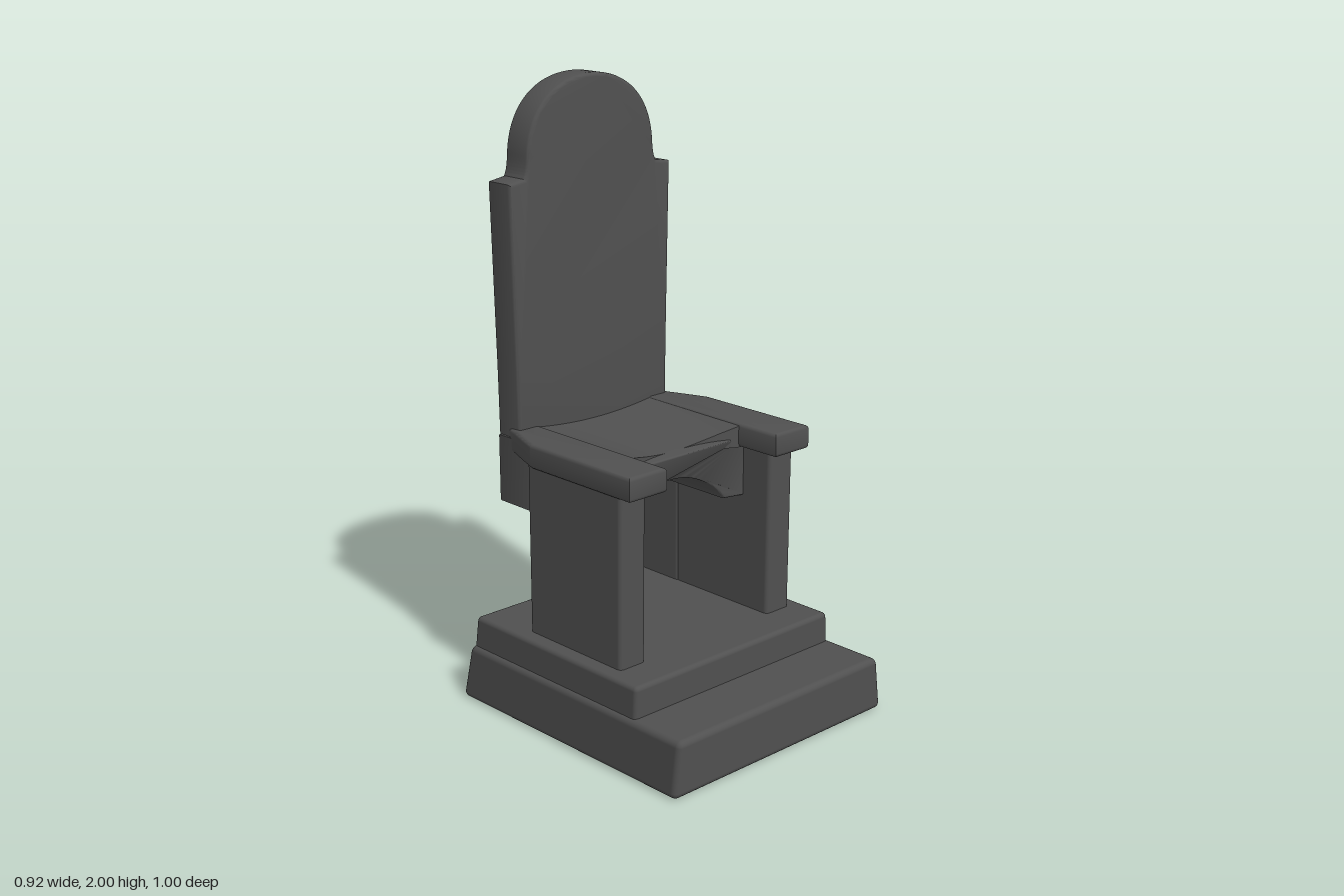
import * as THREE from 'three';
import { toCreasedNormals } from 'three/addons/utils/BufferGeometryUtils.js';
import { RoundedBoxGeometry } from 'three/addons/geometries/RoundedBoxGeometry.js';

const stone = new THREE.MeshStandardMaterial({ color: 0x505050 });
stone.name = 'darkStone';

// Move every vertex of a geometry by a rule
function warp(geometry, rule) {
  const p = geometry.attributes.position;
  const v = new THREE.Vector3();
  for (let i = 0; i < p.count; i++) {
    v.fromBufferAttribute(p, i);
    rule(v);
    p.setXYZ(i, v.x, v.y, v.z);
  }
  return geometry;
}

// Softly bevelled slab whose outline is the outer size, from z = 0 to depth
function slab(shape, depth, bevel = 0.012) {
  const g = new THREE.ExtrudeGeometry(shape, {
    depth: depth - 2 * bevel, bevelThickness: bevel, bevelSize: bevel,
    bevelOffset: -bevel, bevelSegments: 3, curveSegments: 20,
  });
  return g.translate(0, 0, bevel);
}

const smooth = (g) => toCreasedNormals(g, 0.7);

// Rounded box given by its limits
function block(x0, x1, y0, y1, z0, z1, r = 0.015) {
  return new RoundedBoxGeometry(x1 - x0, y1 - y0, z1 - z0, 3, r)
    .translate((x0 + x1) / 2, (y0 + y1) / 2, (z0 + z1) / 2);
}

// Curved front edge of the seat between the arms
const seatFront = (x) => 0.015 + 0.055 * Math.pow(Math.min(1, Math.abs(x) / 0.235), 2.6);

// Outline with an arched underside
function archShape(halfWidth, top) {
  const s = new THREE.Shape();
  s.moveTo(-halfWidth, top);
  s.lineTo(-halfWidth, 0.66);
  s.lineTo(-0.2, 0.66);
  s.bezierCurveTo(-0.16, 0.735, -0.07, 0.76, 0, 0.76);
  s.bezierCurveTo(0.07, 0.76, 0.16, 0.735, 0.2, 0.66);
  s.lineTo(halfWidth, 0.66);
  s.lineTo(halfWidth, top);
  return s;
}

export function createModel() {
  const model = new THREE.Group();
  const add = (name, geometry) => {
    const m = new THREE.Mesh(geometry, stone);
    m.name = name;
    model.add(m);
    return m;
  };

  // Two-step base; the lower step leans inward on the sides and back
  add('lowerStep', warp(block(-0.46, 0.46, 0, 0.18, -0.5, 0.5, 0.02), (v) => {
    const t = Math.pow(v.y / 0.18, 2);
    v.x *= 1 - 0.05 * t;
    if (v.z < 0) v.z *= 1 - 0.04 * t;
  }));
  add('upperStep', warp(block(-0.428, 0.428, 0.13, 0.28, -0.48, 0.295), (v) => {
    const t = Math.max(0, (v.y - 0.18) / 0.1);
    v.x *= 1 - 0.015 * t;
    if (v.z < 0) v.z *= 1 - 0.03 * t;
  }));

  // Side panels carrying the arms, and the single rear post
  for (const side of [1, -1]) {
    const x = side * 0.32;
    add(side > 0 ? 'leftLegPanel' : 'rightLegPanel',
      warp(block(x - 0.052, x + 0.052, 0.26, 0.86, -0.255, 0.17), (v) => {
        if (v.z > 0) v.z += 0.012 * (v.y - 0.26);
      }));
  }
  add('rearPost', block(0.265, 0.342, 0.26, 0.85, -0.455, -0.24));

  // Vaulted block under the seat, following the curved seat front
  const vault = slab(archShape(0.275, 0.86), 0.5, 0.006);
  warp(vault, (v) => {
    v.z = THREE.MathUtils.lerp(-0.455, seatFront(v.x) - 0.012, v.z / 0.5);
  });
  add('seatVault', smooth(vault));
  add('rearApron', smooth(slab(archShape(0.325, 0.88), 0.2).translate(0, 0, -0.455)));

  // Dished middle of the seat
  const dish = new THREE.BoxGeometry(1, 1, 1, 24, 1, 10);
  warp(dish, (v) => {
    const x = v.x * 0.5;
    const t = v.z + 0.5;
    const dip = (0.015 + 0.035 * t) * (1 - Math.pow(x / 0.25, 2));
    v.set(x, v.y > 0 ? 0.909 - dip : 0.832, THREE.MathUtils.lerp(-0.4, seatFront(x), t));
  });
  add('seatDish', smooth(dish));

  // Flat arms either side of the seat, narrowing towards the back
  const arm = new THREE.Shape();
  arm.moveTo(0.235, -0.23);
  arm.lineTo(0.385, -0.23);
  arm.lineTo(0.385, 0.22);
  arm.quadraticCurveTo(0.365, 0.28, 0.335, 0.355);
  arm.lineTo(0.32, 0.4);
  arm.lineTo(0.235, 0.4);
  const armGeometry = slab(arm, 0.078).rotateX(-Math.PI / 2).translate(0, 0.833, 0);
  add('leftArm', smooth(armGeometry));
  add('rightArm', smooth(armGeometry.clone())).rotation.y = 0;
  const mirrored = warp(model.children.at(-1).geometry, (v) => { v.x = -v.x; });
  // Restore the winding after mirroring
  const p = mirrored.attributes.position;
  const a = new THREE.Vector3(), c = new THREE.Vector3();
  for (let i = 0; i < p.count; i += 3) {
    a.fromBufferAttribute(p, i);
    c.fromBufferAttribute(p, i + 2);
    p.setXYZ(i, c.x, c.y, c.z);
    p.setXYZ(i + 2, a.x, a.y, a.z);
  }
  model.children.at(-1).geometry = smooth(mirrored);

  // Tall back with shoulders and a round head
  const back = new THREE.Shape();
  back.moveTo(-0.315, 0.8);
  back.lineTo(0.315, 0.8);
  back.lineTo(0.32, 1.1);
  back.lineTo(0.335, 1.69);
  back.lineTo(0.275, 1.7);
  back.quadraticCurveTo(0.263, 1.72, 0.261, 1.77);
  back.bezierCurveTo(0.25, 1.92, 0.14, 2.0, 0, 2.0);
  back.bezierCurveTo(-0.14, 2.0, -0.25, 1.92, -0.261, 1.77);
  back.quadraticCurveTo(-0.263, 1.72, -0.275, 1.7);
  back.lineTo(-0.335, 1.69);
  back.lineTo(-0.32, 1.1);
  add('backrest', smooth(slab(back, 0.108).translate(0, 0, -0.46)));

  return model;
}
